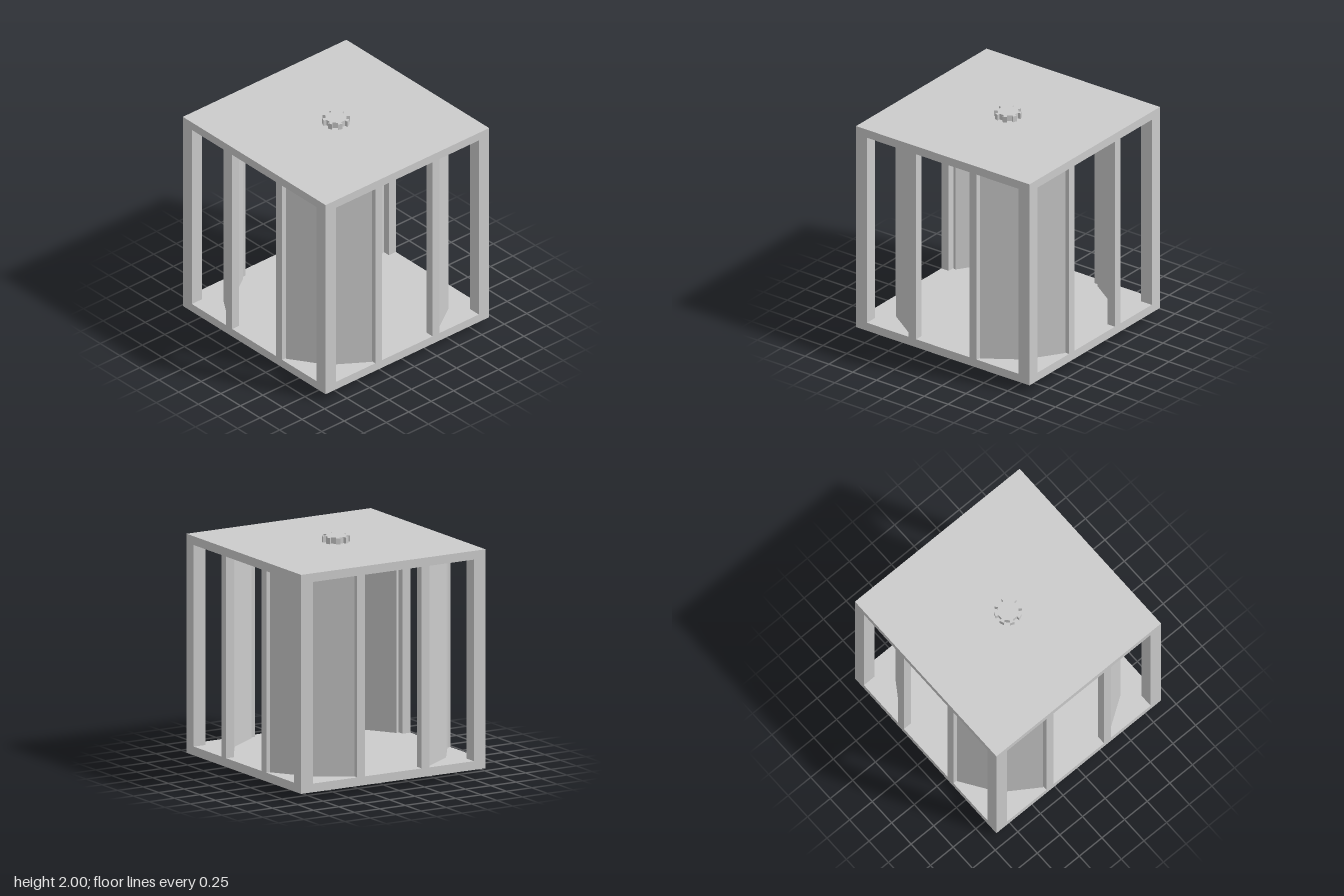
import * as THREE from 'three';

const HALF = 0.91;                 // half width of the cage
const LOW = 0.0635, HIGH = 1.947;  // outer faces of the plates
const PLATE = 0.075;               // plate thickness
const POST = 0.115;                // corner post side
const STILE = 0.077;               // stile side
const material = new THREE.MeshStandardMaterial({ color: 0xcccccc });

function add(parent, name, geometry) {
  const mesh = new THREE.Mesh(geometry, material);
  mesh.name = name;
  parent.add(mesh);
  return mesh;
}

// Box given by its lower and upper corners
function boxBetween(x0, y0, z0, x1, y1, z1) {
  const g = new THREE.BoxGeometry(x1 - x0, y1 - y0, z1 - z0);
  return g.translate((x0 + x1) / 2, (y0 + y1) / 2, (z0 + z1) / 2);
}

// Vertical prism from a plan outline of [radius, degrees] points
function prism(polar, y0, y1) {
  const points = polar.map(([r, deg]) => {
    const a = THREE.MathUtils.degToRad(deg);
    return new THREE.Vector2(r * Math.cos(a), r * Math.sin(a));
  });
  const g = new THREE.ExtrudeGeometry(new THREE.Shape(points), { depth: y1 - y0, bevelEnabled: false });
  return g.rotateX(-Math.PI / 2).translate(0, y0, 0);
}

export function createModel() {
  const model = new THREE.Group();
  model.name = 'rotorCage';
  const floor = LOW + PLATE, ceiling = HIGH - PLATE;

  // Square end plates
  add(model, 'bottomPlate', boxBetween(-HALF, LOW, -HALF, HALF, floor, HALF));
  add(model, 'topPlate', boxBetween(-HALF, ceiling, -HALF, HALF, HIGH, HALF));

  // Each quarter: a corner post, two window stiles and a faceted curved wall
  const post = boxBetween(HALF - POST, floor, HALF - POST, HALF, ceiling, HALF);
  const stileA = boxBetween(0.28, floor, HALF - STILE, 0.28 + STILE, ceiling, HALF);
  const stileB = boxBetween(HALF - STILE, floor, 0.28, HALF, ceiling, 0.28 + STILE);
  const outer = 0.947, inner = 0.87;
  const wall = prism([
    [outer, -67.5], [outer, -45], [outer, -22.5],
    [inner, -22.5], [inner, -45], [inner, -67.5],
  ], floor, ceiling);
  for (let i = 0; i < 4; i++) {
    const quarter = new THREE.Group();
    quarter.name = 'cornerSection' + (i + 1);
    quarter.rotation.y = (i * Math.PI) / 2;
    add(quarter, 'cornerPost', post);
    add(quarter, 'windowStile', stileA);
    add(quarter, 'windowStile', stileB);
    add(quarter, 'curvedWall', wall);
    model.add(quarter);
  }

  // Splined shaft with eight teeth
  const teeth = [];
  for (let i = 0; i < 8; i++) {
    const c = 22.5 + i * 45;
    teeth.push([0.09, c - 8.5], [0.117, c - 9.7], [0.117, c + 9.7], [0.09, c + 8.5]);
  }
  add(model, 'splinedShaft', prism(teeth, 0, 2));

  return model;
}
